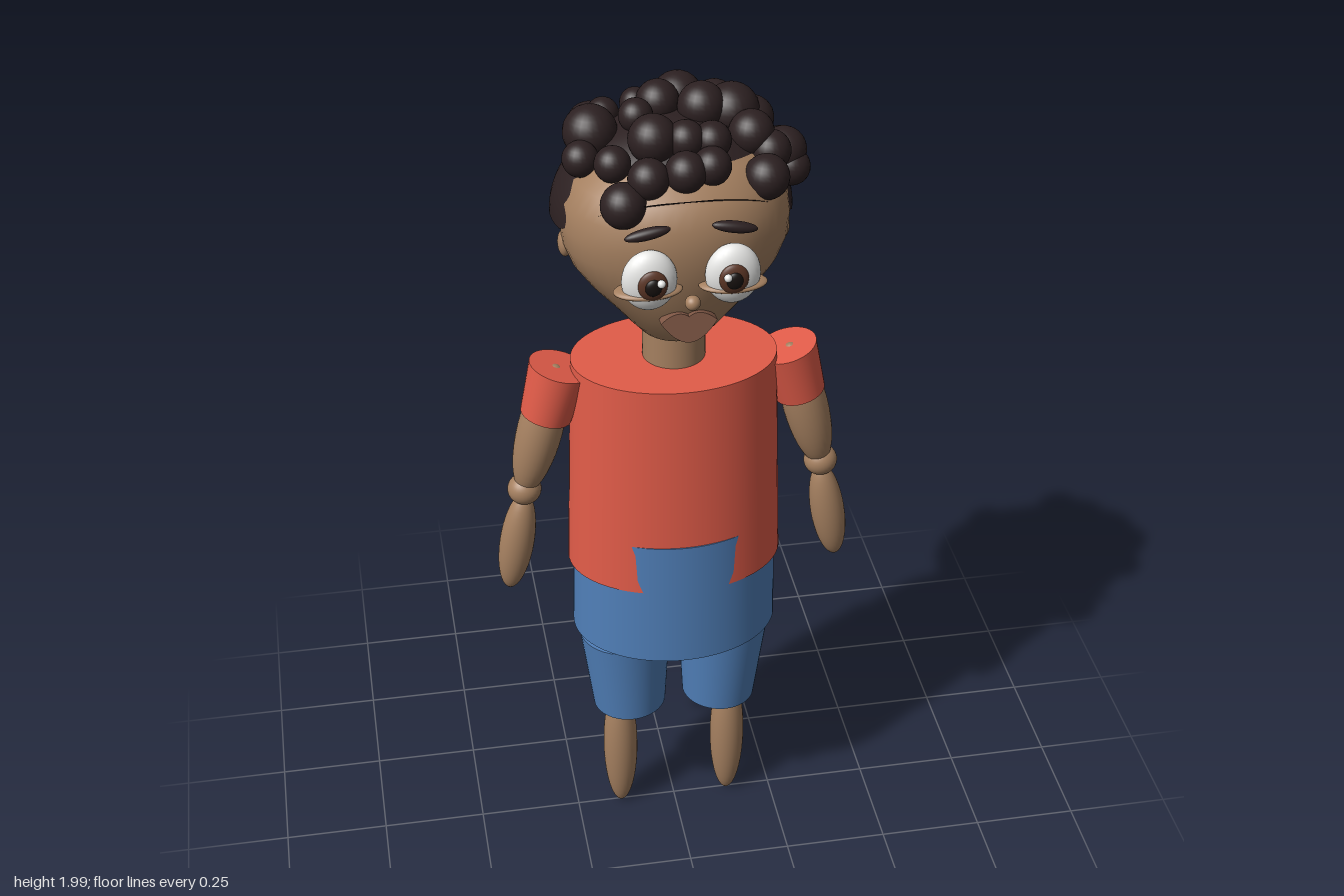
import * as THREE from 'three';

const mat = (name, color, side = THREE.FrontSide) => {
  const m = new THREE.MeshStandardMaterial({ color, side });
  m.name = name;
  return m;
};

export function createModel() {
  const model = new THREE.Group();
  model.name = 'boy';
  const skin = mat('skin', 0xa58060);
  const red = mat('shirtRed', 0xe25c49);
  const blue = mat('shortsBlue', 0x507fb8);
  const hair = mat('hairDark', 0x2c2021, THREE.DoubleSide);
  const white = mat('eyeWhite', 0xf2f2f0);
  const brown = mat('irisBrown', 0x5c3626);
  const black = mat('pupilBlack', 0x17110f);
  const lip = mat('lipBrown', 0x805846);

  const add = (name, geo, material, pos = [0, 0, 0], scale = [1, 1, 1], rotZ = 0) => {
    const m = new THREE.Mesh(geo, material);
    m.name = name;
    m.position.set(...pos);
    m.scale.set(...scale);
    m.rotation.z = rotZ;
    model.add(m);
    return m;
  };
  const ball = new THREE.SphereGeometry(1, 32, 20);

  // Elliptical rings [y, rx, rz, centre z] joined into a smooth closed body
  const loft = (rings, n = 48) => {
    const pos = [], idx = [];
    rings.forEach(([y, rx, rz, cz = 0]) => {
      for (let i = 0; i < n; i++) {
        const a = (i / n) * Math.PI * 2;
        pos.push(Math.sin(a) * rx, y, cz + Math.cos(a) * rz);
      }
    });
    for (let r = 0; r < rings.length - 1; r++) {
      for (let i = 0; i < n; i++) {
        const a = r * n + i, b = r * n + ((i + 1) % n);
        idx.push(a, b, b + n, a, b + n, a + n);
      }
    }
    const g = new THREE.BufferGeometry();
    g.setAttribute('position', new THREE.Float32BufferAttribute(pos, 3));
    g.setIndex(idx);
    g.computeVertexNormals();
    return g;
  };

  // Tapered cylinder between two points
  const taper = (name, a, b, ra, rb, material) => {
    const top = new THREE.Vector3(...a), bottom = new THREE.Vector3(...b);
    const dir = top.clone().sub(bottom);
    const m = add(name, new THREE.CylinderGeometry(ra, rb, dir.length(), 40), material);
    m.position.copy(top).add(bottom).multiplyScalar(0.5);
    m.quaternion.setFromUnitVectors(new THREE.Vector3(0, 1, 0), dir.normalize());
    return m;
  };

  // Torso: shirt and shorts are oval tapers that cross at front and back
  add('shirt', new THREE.CylinderGeometry(0.237, 0.255, 0.55, 64), red, [0, 1.085, 0], [1, 1, 0.732]);
  add('shortsWaist', new THREE.CylinderGeometry(0.24, 0.247, 0.33, 64), blue, [0, 0.775, 0], [1, 1, 0.777]);
  add('neck', new THREE.CylinderGeometry(0.072, 0.072, 0.16, 32), skin, [0, 1.42, 0]);

  // Head
  add('head', loft([
    [1.43, 0, 0], [1.431, 0.045, 0.06], [1.45, 0.085, 0.1], [1.48, 0.11, 0.13], [1.53, 0.15, 0.16, 0.003],
    [1.58, 0.195, 0.178, 0.006], [1.63, 0.23, 0.19, 0.01], [1.68, 0.249, 0.199, 0.012],
    [1.73, 0.253, 0.203, 0.012], [1.78, 0.246, 0.2, 0.01], [1.83, 0.222, 0.184, 0.005],
    [1.87, 0.18, 0.14], [1.9, 0.1, 0.08], [1.91, 0, 0],
  ]), skin);
  add('nose', ball, skin, [0, 1.627, 0.235], [0.017, 0.017, 0.017]);

  // Mouth: thin heart-like lips
  const lips = new THREE.Shape();
  lips.moveTo(-0.062, 0.012);
  lips.quadraticCurveTo(-0.025, 0.045, 0, 0.024);
  lips.quadraticCurveTo(0.025, 0.045, 0.062, 0.012);
  lips.quadraticCurveTo(0.03, -0.036, 0, -0.036);
  lips.quadraticCurveTo(-0.03, -0.036, -0.062, 0.012);
  const mouth = add('mouth', new THREE.ExtrudeGeometry(lips, { depth: 0.03, bevelEnabled: false }), lip, [0, 1.54, 0.168]);
  mouth.rotation.x = -0.15;

  // Features and limbs mirrored on both sides
  for (const s of [-1, 1]) {
    const side = s > 0 ? 'left' : 'right';
    add(side + 'Ear', ball, skin, [s * 0.242, 1.67, 0.005], [0.016, 0.032, 0.025]);
    add(side + 'Eye', ball, white, [s * 0.09, 1.68, 0.215], [0.06, 0.07, 0.034]);
    add(side + 'Iris', ball, brown, [s * 0.087, 1.682, 0.244], [0.032, 0.035, 0.012]);
    add(side + 'Pupil', ball, black, [s * 0.087, 1.682, 0.253], [0.018, 0.02, 0.009]);
    add(side + 'EyeGlint', ball, white, [s * 0.071, 1.694, 0.26], [0.009, 0.009, 0.009]);
    add(side + 'LowerLid', ball, skin, [s * 0.092, 1.652, 0.208], [0.075, 0.013, 0.041]);
    add(side + 'Brow', ball, hair, [s * 0.093, 1.79, 0.214], [0.05, 0.013, 0.014], -s * 0.18);

    taper(side + 'Sleeve', [s * 0.262, 1.35, 0], [s * 0.297, 1.225, 0], 0.071, 0.06, red);
    add(side + 'UpperArm', ball, skin, [s * 0.312, 1.185, 0], [0.053, 0.175, 0.053], s * 0.25);
    add(side + 'Elbow', ball, skin, [s * 0.354, 1.023, 0], [0.04, 0.038, 0.038]);
    add(side + 'Forearm', ball, skin, [s * 0.377, 0.875, 0], [0.041, 0.136, 0.038], s * 0.17);

    add(side + 'Thigh', new THREE.CylinderGeometry(0.056, 0.066, 0.2, 32), skin, [s * 0.13, 0.58, 0]);
    taper(side + 'ShortsLeg', [s * 0.122, 0.58, 0], [s * 0.113, 0.352, 0], 0.111, 0.09, blue);
    add(side + 'Shin', ball, skin, [s * 0.138, 0.2, 0], [0.043, 0.192, 0.042]);
  }

  // Hair cap: half oval whose rim rises toward the forehead
  const capY = 1.72, capZ = -0.035, rx = 0.268, ry = 0.215, rz = 0.23;
  const cap = new THREE.SphereGeometry(1, 64, 24, 0, Math.PI * 2, 0, Math.PI / 2);
  const p = cap.attributes.position;
  for (let i = 0; i < p.count; i++) {
    const z = capZ + p.getZ(i) * rz;
    const rim = capY + 0.125 * THREE.MathUtils.clamp((z - 0.04) / 0.15, 0, 1);
    p.setXYZ(i, p.getX(i) * rx, Math.max(capY + p.getY(i) * ry, rim), z);
  }
  cap.computeVertexNormals();
  add('hairCap', cap, hair);

  // Curls sit on the cap: [x, z, radius]
  const curls = [
    [-0.158, -0.18, 0.05], [-0.133, -0.14, 0.036], [-0.174, -0.048, 0.06], [-0.205, 0.018, 0.04],
    [-0.077, -0.033, 0.038], [-0.065, -0.118, 0.034], [-0.145, 0.08, 0.04], [-0.133, 0.15, 0.05],
    [-0.055, 0.058, 0.054], [-0.077, 0.135, 0.045], [0.013, 0.07, 0.042], [0.002, 0.137, 0.045],
    [0.07, 0.07, 0.042], [0.06, 0.125, 0.042], [0.08, -0.222, 0.05], [0.104, -0.19, 0.036],
    [0.032, -0.14, 0.057], [-0.02, -0.09, 0.048], [0.07, -0.055, 0.053], [0.115, -0.145, 0.05],
    [0.205, -0.127, 0.036], [0.138, -0.066, 0.062], [0.185, -0.078, 0.05], [0.167, 0.012, 0.05],
    [0.205, 0.035, 0.045], [0.25, -0.078, 0.04], [0.245, -0.02, 0.052], [0.26, 0.0, 0.042],
    [0.183, 0.103, 0.05],
  ];
  const curl = new THREE.SphereGeometry(1, 24, 16);
  for (const [x, z, r] of curls) {
    const d = (x / 0.275) ** 2 + ((z - capZ) / 0.235) ** 2;
    add('curl', curl, hair, [x, capY + 0.03 + 0.2 * Math.sqrt(Math.max(0.05, 1 - d)), z], [r, r, r]);
  }
  return model;
}
